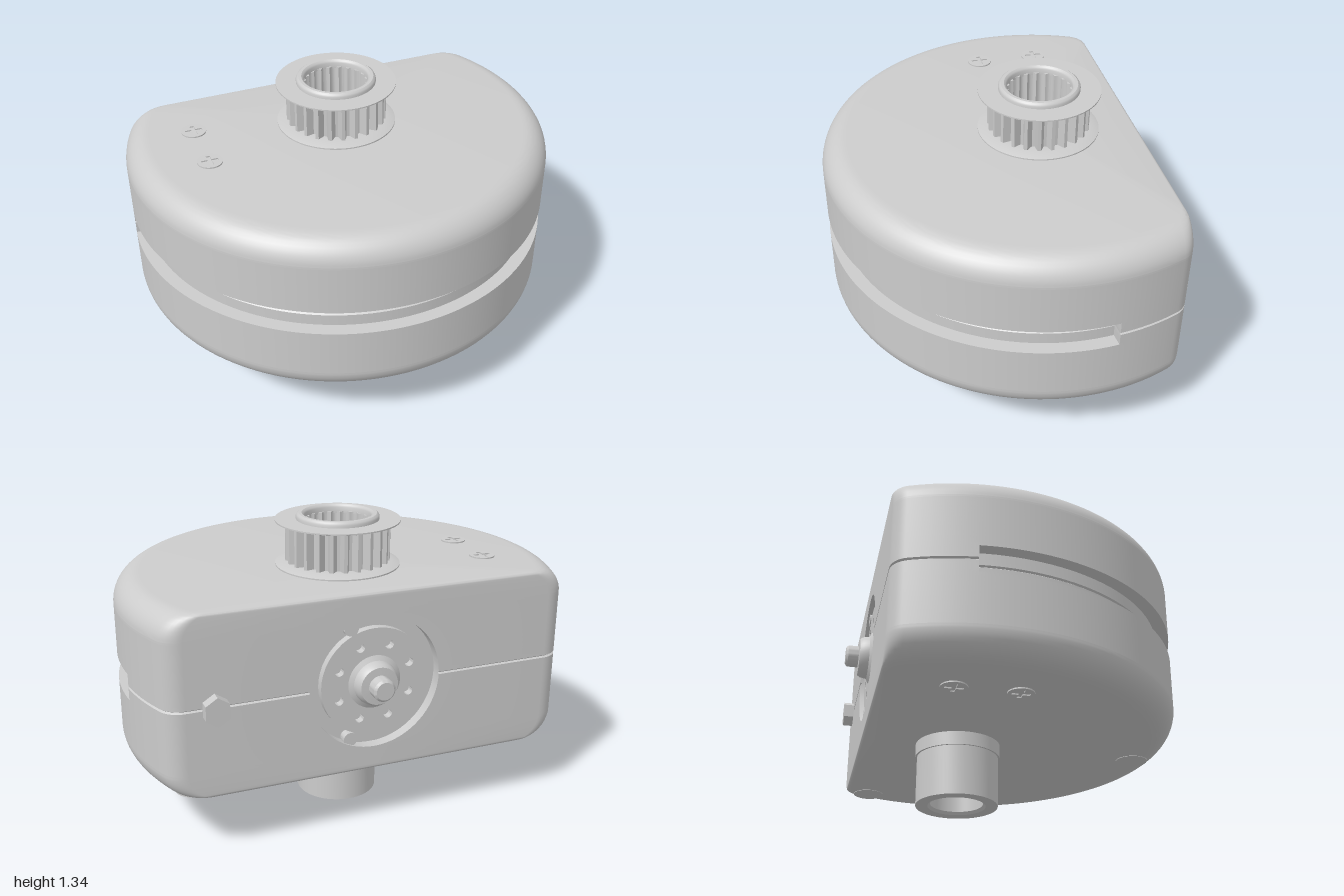
import * as THREE from 'three';
import { toCreasedNormals } from 'three/addons/utils/BufferGeometryUtils.js';

const ZC = -0.23;               // z of the vertical axis
const Y0 = 0.29, Y1 = 1.11;     // housing bottom and top
const YM = 0.7;                 // parting line height
const mat = new THREE.MeshStandardMaterial({ color: 0xcccccc, side: THREE.DoubleSide });

function add(parent, name, geo, x = 0, y = 0, z = 0) {
  const m = new THREE.Mesh(toCreasedNormals(geo, 0.6), mat);
  m.name = name;
  m.position.set(x, y, z);
  parent.add(m);
  return m;
}

const lathe = (pts, seg = 64) =>
  new THREE.LatheGeometry(pts.map(([r, y]) => new THREE.Vector2(r, y)), seg);

// closed outline from a radius rule
function radial(n, rule, Type = THREE.Shape) {
  const pts = [];
  for (let i = 0; i < n; i++) {
    const a = (i / n) * Math.PI * 2, r = rule(i, a);
    pts.push(new THREE.Vector2(r * Math.cos(a), r * Math.sin(a)));
  }
  return new Type(pts);
}

const extrude = (shape, depth) =>
  new THREE.ExtrudeGeometry(shape, { depth, bevelEnabled: false, curveSegments: 24 });

// quarter-round inset near the top and bottom edges
function roundInset(y, r) {
  const t = Math.max(0, r - Math.min(y - Y0, Y1 - y));
  return r - Math.sqrt(Math.max(0, r * r - t * t));
}

// one horizontal D-shaped section of the housing
function section(y, grooved) {
  const seam = Math.abs(y - YM) < 0.001 ? 0.008 : 0;
  const R = 1 - roundInset(y, 0.12) - seam;
  const h = 0.445 - roundInset(y, 0.015) - seam;
  const c = 0.1, g = grooved ? 0.06 : 0;
  const cx = Math.sqrt((R - c) ** 2 - (h - c) ** 2);
  const aEnd = Math.atan2(cx, -(h - c)), aGroove = Math.acos(-0.11 / R);
  const half = [];                       // from front centre to back, +x side
  const arc = (a, r) => half.push([r * Math.sin(a), r * Math.cos(a)]);
  for (let i = 0; i <= 40; i++) arc((aGroove * i) / 40, R - g);
  for (let i = 0; i <= 6; i++) arc(aGroove + ((aEnd - aGroove) * i) / 6, R);
  for (let i = 1; i <= 8; i++) {
    const a = aEnd + ((Math.PI - aEnd) * i) / 8;
    half.push([cx + c * Math.sin(a), -(h - c) + c * Math.cos(a)]);
  }
  // round recess in the flat back
  const w = Math.sqrt(Math.max(0, 0.3 ** 2 - (y - YM) ** 2));
  const inside = w > 0.005;
  half.push([inside ? w : 0, -h], [inside ? w : 0, inside ? -0.395 : -h]);
  const left = half.slice(1).map(([x, z]) => [-x, z]);
  return [...half.slice().reverse(), ...left].map(([x, z]) => [x, y, z + ZC]);
}

function housingGeometry() {
  const lo = 0.64, hi = 0.76;
  const ys = [lo, hi, YM - 0.006, YM, YM + 0.006];
  for (let i = 0; i <= 10; i++) {
    const e = 0.12 * (1 - Math.cos((i / 10) * Math.PI / 2));
    ys.push(Y0 + e, Y1 - e);
  }
  for (const e of [0.004, 0.009, 0.015]) ys.push(Y0 + e, Y1 - e);
  for (let i = 0; i <= 36; i++) ys.push(YM + 0.3 * Math.sin((i / 36 - 0.5) * Math.PI));
  ys.sort((a, b) => a - b);
  const rings = [];
  ys.forEach((y, i) => {
    if (i && y - ys[i - 1] < 1e-5) return;
    if (y === hi) rings.push(section(y, true));
    rings.push(section(y, y > lo && y < hi));
    if (y === lo) rings.push(section(y, true));
  });
  const n = rings[0].length, idx = [], pos = rings.flat(2);
  for (let k = 0; k < rings.length - 1; k++)
    for (let j = 0; j < n; j++) {
      const a = k * n + j, b = k * n + ((j + 1) % n);
      idx.push(a, a + n, b + n, a, b + n, b);
    }
  const bottom = rings.length * n, last = bottom - n;
  pos.push(0, Y0, ZC, 0, Y1, ZC);
  for (let j = 0; j < n; j++) {
    const k = (j + 1) % n;
    idx.push(bottom, j, k, bottom + 1, last + k, last + j);
  }
  const geo = new THREE.BufferGeometry();
  geo.setAttribute('position', new THREE.Float32BufferAttribute(pos, 3));
  geo.setIndex(idx);
  return geo;
}

// cross-slotted screw head, facing +z
function screwGeometry(r) {
  const shape = new THREE.Shape().absarc(0, 0, r, 0, Math.PI * 2);
  const a = r * 0.16, b = r * 0.68;
  shape.holes.push(new THREE.Path([
    [a, a], [a, b], [-a, b], [-a, a], [-b, a], [-b, -a],
    [-a, -a], [-a, -b], [a, -b], [a, -a], [b, -a], [b, a],
  ].map(([x, y]) => new THREE.Vector2(x, y))));
  return extrude(shape, 0.012);
}

function makePulley() {
  const g = new THREE.Group();
  g.name = 'pulley';
  // toothed rim with a scalloped bore
  const rim = radial(24 * 4, (i) => (i % 4 < 2 ? 0.235 : 0.2));
  rim.holes.push(radial(120, (i, a) => 0.137 + 0.013 * Math.abs(Math.cos(10 * a)), THREE.Path));
  add(g, 'toothedRim', extrude(rim, 0.2).rotateX(-Math.PI / 2), 0, 1.11);
  add(g, 'lowerFlange', lathe([[0.2, 1.105], [0.28, 1.11], [0.28, 1.116], [0.24, 1.13], [0.2, 1.13]]));
  add(g, 'upperFlange', lathe([[0.19, 1.295], [0.24, 1.298], [0.28, 1.31], [0.28, 1.316], [0.15, 1.316]]));
  add(g, 'crown', lathe([[0.186, 1.31], [0.186, 1.328], [0.182, 1.336], [0.174, 1.342],
    [0.16, 1.342], [0.152, 1.336], [0.148, 1.328], [0.148, 1.3]]));
  g.position.z = ZC;
  return g;
}

function makeBackPort() {
  const g = new THREE.Group();
  g.name = 'backPort';
  // flat disc with a circle of eight holes
  const disc = new THREE.Shape().absarc(0, 0, 0.245, 0, Math.PI * 2);
  for (let i = 0; i < 8; i++) {
    const a = ((i + 0.5) / 8) * Math.PI * 2;
    disc.holes.push(new THREE.Path().absarc(0.175 * Math.cos(a), 0.175 * Math.sin(a), 0.02, 0, Math.PI * 2));
  }
  add(g, 'portDisc', extrude(disc, 0.035), 0, 0, -0.66);
  // stepped hub and stub, turned to face backwards
  add(g, 'portHub', lathe([[0.13, 0.655], [0.1, 0.672], [0.095, 0.7], [0.085, 0.715], [0.05, 0.717],
    [0.05, 0.765], [0.04, 0.775], [0, 0.775]], 40).rotateX(-Math.PI / 2));
  for (const s of [1, -1])
    add(g, 'portScrew', new THREE.CylinderGeometry(0.032, 0.032, 0.04, 20).rotateX(Math.PI / 2), 0.11, s * 0.255, -0.645);
  g.position.y = YM;
  return g;
}

export function createModel() {
  const model = new THREE.Group();
  model.name = 'gearHousing';
  add(model, 'housing', housingGeometry());
  model.add(makePulley(), makeBackPort());

  // hollow output shaft with collar underneath
  add(model, 'shaft', lathe([[0, 0.16], [0.12, 0.16], [0.12, 0.012], [0.132, 0], [0.187, 0], [0.187, 0.228],
    [0.195, 0.228], [0.195, 0.3]]), 0, 0, ZC);

  // screws in the top and bottom faces
  for (const z of [-0.37, -0.09]) {
    add(model, 'topScrew', screwGeometry(0.058).rotateX(-Math.PI / 2), -0.66, 1.104, z);
    add(model, 'bottomScrew', screwGeometry(0.058).rotateX(Math.PI / 2), -0.66, 0.296, z);
  }
  add(model, 'bottomScrew', screwGeometry(0.045).rotateX(Math.PI / 2), 0.32, 0.296, -0.3);

  // round pads under the housing
  for (const [x, z] of [[0.79, -0.56], [0, 0.62]])
    add(model, 'footPad', new THREE.CylinderGeometry(0.075, 0.075, 0.06, 32), x, 0.318, z);

  // six-sided peg across the parting line at the back
  const peg = new THREE.CylinderGeometry(0.065, 0.065, 0.06, 6).rotateX(Math.PI / 2);
  add(model, 'peg', peg.scale(0.9, 1, 1), 0.71, YM, -0.693);
  return model;
}
